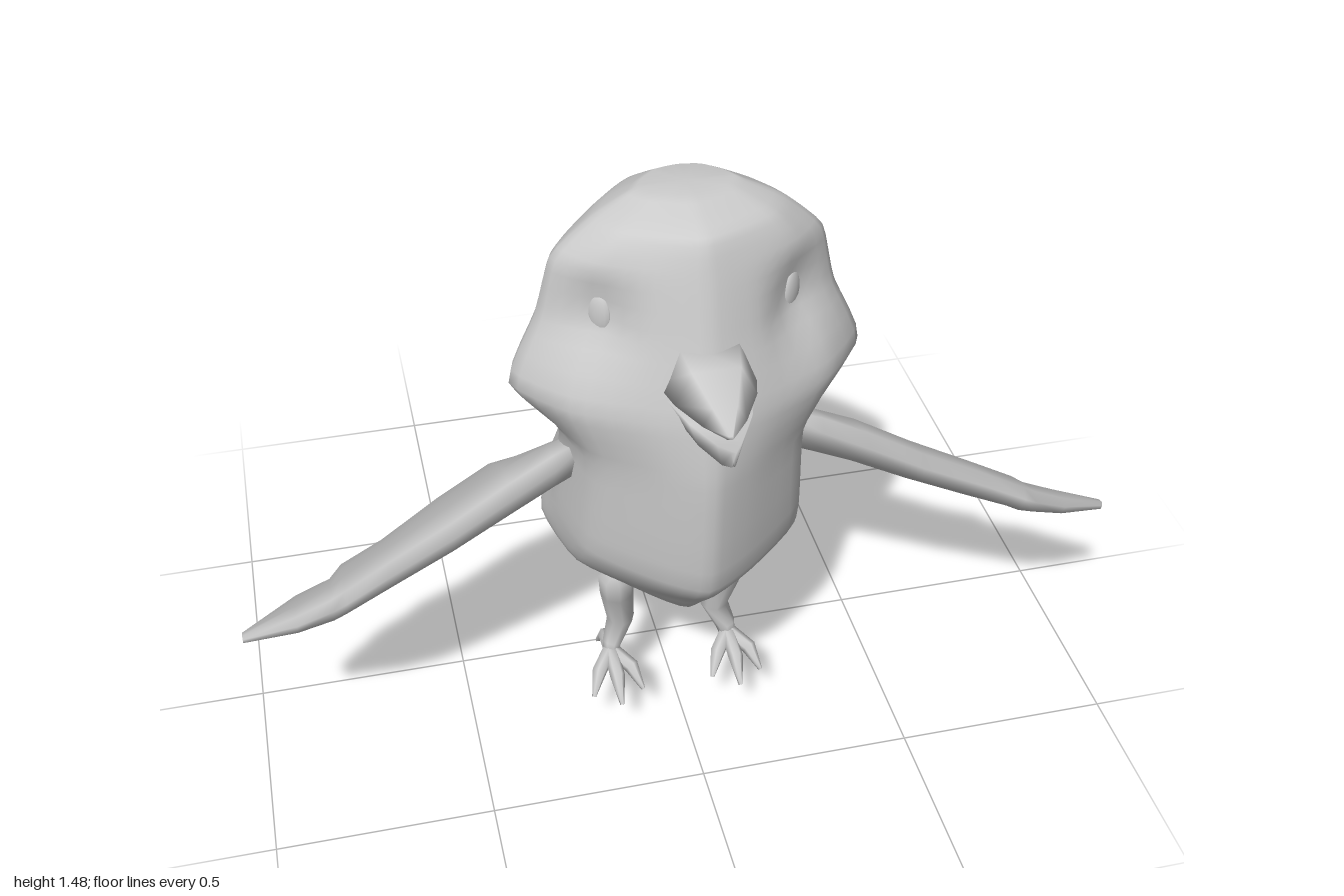
import * as THREE from 'three';

const material = new THREE.MeshStandardMaterial({ color: 0xcccccc, roughness: 0.8 });
const V = (x, y, z) => new THREE.Vector3(x, y, z);

// Closed skin over a list of rings (equal point counts), capped at both ends
function loft(rings) {
  const n = rings[0].length, pts = rings.flat(), index = [];
  for (let r = 0; r < rings.length - 1; r++)
    for (let i = 0; i < n; i++) {
      const a = r * n + i, b = r * n + (i + 1) % n;
      index.push(a, b, a + n, b, b + n, a + n);
    }
  const cap = (start, flip) => {
    const c = V(0, 0, 0);
    for (let i = 0; i < n; i++) c.addScaledVector(pts[start + i], 1 / n);
    const id = pts.push(c) - 1;
    for (let i = 0; i < n; i++) {
      const a = start + i, b = start + (i + 1) % n;
      index.push(id, flip ? b : a, flip ? a : b);
    }
  };
  cap((rings.length - 1) * n, false);
  cap(0, true);
  // Turn the skin outward when its signed volume is negative
  let volume = 0;
  for (let i = 0; i < index.length; i += 3)
    volume += pts[index[i]].dot(V(0, 0, 0).crossVectors(pts[index[i + 1]], pts[index[i + 2]]));
  if (volume < 0) index.reverse();
  const g = new THREE.BufferGeometry().setFromPoints(pts);
  g.setIndex(index);
  g.computeVertexNormals();
  return g;
}

function add(parent, name, geometry) {
  const mesh = new THREE.Mesh(geometry, material);
  mesh.name = name;
  parent.add(mesh);
  return mesh;
}

// Resample rings smoothly, both around and along
function smoothRings(rings, k) {
  const resample = (points, closed) => {
    const curve = new THREE.CatmullRomCurve3(points, closed, 'catmullrom', 0.3);
    const n = closed ? points.length * k : (points.length - 1) * k;
    return Array.from({ length: closed ? n : n + 1 }, (_, i) => curve.getPoint(i / n));
  };
  const around = rings.map(r => resample(r, true));
  const columns = around[0].map((_, i) => resample(around.map(r => r[i]), false));
  return columns[0].map((_, j) => columns.map(c => c[j]));
}

// Tapered round limb along a path that heads downward
function limb(path, radii, sides = 8) {
  return loft(path.map((p, i) => {
    const dir = path[Math.min(i + 1, path.length - 1)].clone().sub(path[Math.max(i - 1, 0)]).normalize();
    const q = new THREE.Quaternion().setFromUnitVectors(V(0, -1, 0), dir);
    return Array.from({ length: sides }, (_, s) => {
      const a = s / sides * Math.PI * 2;
      return V(Math.cos(a) * radii[i], 0, Math.sin(a) * radii[i]).applyQuaternion(q).add(p);
    });
  }));
}

// Head and body sections: front z, y, back z, y, half width, outline (0 head, 1 body, 2 keel)
const SECTIONS = [
  [0.32, 1.478, 0.19, 1.475, 0.10, 0.5],
  [0.425, 1.44, 0.11, 1.42, 0.20, 0.5],
  [0.455, 1.36, 0.07, 1.34, 0.285, 0.35],
  [0.49, 1.22, 0.00, 1.20, 0.32, 0.2],
  [0.53, 1.06, -0.06, 1.05, 0.38, 0],
  [0.545, 0.90, -0.07, 0.91, 0.275, 0.8],
  [0.52, 0.60, -0.145, 0.75, 0.285, 1],
  [0.42, 0.48, -0.21, 0.63, 0.30, 1.1],
  [0.30, 0.36, -0.26, 0.535, 0.27, 1.4],
  [0.00, 0.24, -0.32, 0.42, 0.20, 2],
  [-0.33, 0.27, -0.365, 0.315, 0.14, 2],
];
const OUTLINES = [
  [[0, 0], [0.07, 0.34], [0.2, 0.73], [0.42, 1], [0.67, 0.78], [0.9, 0.38], [1, 0]],
  [[0, 0], [0.08, 0.38], [0.24, 0.84], [0.48, 1], [0.73, 0.83], [0.96, 0.55], [1, 0]],
  [[0, 0], [0.14, 0.27], [0.36, 0.62], [0.62, 0.92], [0.82, 0.95], [0.96, 0.55], [1, 0]],
];

function bodyGeometry() {
  const rings = SECTIONS.map(([fz, fy, bz, by, w, kind]) => {
    const k = Math.min(Math.floor(kind), 1), mix = kind - k;
    const side = OUTLINES[k].map(([t, x], i) => {
      const u = THREE.MathUtils.lerp(t, OUTLINES[k + 1][i][0], mix);
      return V(w * THREE.MathUtils.lerp(x, OUTLINES[k + 1][i][1], mix), fy + (by - fy) * u, fz + (bz - fz) * u);
    });
    return [...side, ...side.slice(1, -1).reverse().map(p => V(-p.x, p.y, p.z))];
  });
  const g = loft(smoothRings(rings, 4));
  // Shallow eye sockets
  const p = g.attributes.position;
  for (let i = 0; i < p.count; i++) {
    const x = p.getX(i), y = p.getY(i), z = p.getZ(i), s = Math.sign(x);
    const d = ((Math.abs(x) - 0.225) / 0.07) ** 2 + ((y - 1.25) / 0.09) ** 2 + ((z - 0.4) / 0.1) ** 2;
    const dent = 0.04 * Math.exp(-d);
    p.setXYZ(i, x - s * dent * 0.6, y, z - dent * 0.8);
  }
  g.computeVertexNormals();
  return g;
}

// Wing sections: x, leading z, y, trailing z, y, thickness
const WING = [
  [0.20, 0.31, 0.87, 0.03, 0.69, 0.11],
  [0.30, 0.34, 0.845, 0.00, 0.635, 0.12],
  [0.40, 0.36, 0.80, -0.02, 0.60, 0.12],
  [0.53, 0.38, 0.735, 0.00, 0.535, 0.11],
  [0.67, 0.40, 0.675, 0.07, 0.495, 0.10],
  [0.77, 0.41, 0.625, 0.10, 0.465, 0.09],
  [0.80, 0.41, 0.61, 0.115, 0.44, 0.085],
  [0.88, 0.395, 0.57, 0.17, 0.455, 0.065],
  [1.00, 0.35, 0.515, 0.29, 0.48, 0.03],
];
const AIRFOIL = [[0, 0], [0.06, 0.35], [0.3, 0.5], [0.7, 0.28], [1, 0.05], [1, -0.05], [0.7, -0.3], [0.3, -0.5], [0.06, -0.35]];

const wingGeometry = s => loft(WING.map(([x, lz, ly, tz, ty, h]) =>
  AIRFOIL.map(([t, o]) => V(s * x, ly + (ty - ly) * t + o * h, lz + (tz - lz) * t))));

// Beak halves: sections of z, low y, high y, low half width, high half width
const beakGeometry = sections => loft(sections.map(([z, lo, hi, wl, wh]) =>
  [V(-wl, lo, z), V(0, lo + (hi - lo) * 0.08, z), V(wl, lo, z), V(wh, hi, z), V(-wh, hi, z)]));

// One half of the back and forked tail: sections of outer point and inner point
const tailGeometry = sections => loft(sections.map(([ox, oy, oz, ix, iy, iz]) => {
  const mid = V(ox * 0.6 + ix * 0.4, oy * 0.25 + iy * 0.75, oz * 0.55 + iz * 0.45);
  const down = V(0, -0.02, 0);
  return [V(ox, oy, oz), mid, V(ix, iy, iz), V(ix, iy, iz).add(down), mid.clone().add(down), V(ox, oy - 0.012, oz)];
}));
const backSections = s => [
  [s * 0.22, 0.63, -0.03, 0, 0.87, -0.075],
  [s * 0.205, 0.54, -0.12, 0, 0.755, -0.155],
  [s * 0.19, 0.435, -0.21, 0, 0.645, -0.22],
  [s * 0.185, 0.36, -0.275, 0, 0.50, -0.305],
  [s * 0.185, 0.285, -0.34, -0.005, 0.36, -0.385]];

export function createModel() {
  const bird = new THREE.Group();
  bird.name = 'bird';
  add(bird, 'body', bodyGeometry());

  add(bird, 'upperBeak', beakGeometry([
    [0.45, 1.13, 1.225, 0.105, 0.065], [0.53, 1.128, 1.20, 0.085, 0.05],
    [0.60, 1.12, 1.16, 0.045, 0.025], [0.645, 1.115, 1.122, 0.006, 0.004]]));
  add(bird, 'lowerBeak', beakGeometry([
    [0.45, 1.055, 1.115, 0.075, 0.105], [0.57, 1.05, 1.108, 0.045, 0.065],
    [0.64, 1.05, 1.10, 0.015, 0.025], [0.67, 1.065, 1.10, 0.003, 0.005]]));

  add(bird, 'rightTail', tailGeometry([...backSections(-1),
    [-0.195, 0.165, -0.52, -0.02, 0.215, -0.54], [-0.21, 0.07, -0.66, -0.105, 0.11, -0.67]]));
  add(bird, 'leftTail', tailGeometry([...backSections(1),
    [0.155, 0.125, -0.52, -0.02, 0.215, -0.54], [0.125, 0.012, -0.66, 0.04, 0.10, -0.67]]));

  for (const s of [1, -1]) {
    const side = s > 0 ? 'left' : 'right';
    add(bird, side + 'Wing', wingGeometry(s));

    // Flat eye set into its socket
    const eye = add(bird, side + 'Eye', new THREE.SphereGeometry(1, 16, 12));
    eye.scale.set(0.014, 0.05, 0.03);
    eye.position.set(s * 0.2, 1.25, 0.355);
    eye.rotation.y = -s * 0.8;

    // Leg with three front toes and one back toe
    const leg = new THREE.Group();
    leg.name = side + 'Leg';
    leg.position.x = -0.02;
    add(leg, 'shank', limb(
      [V(s * 0.135, 0.46, 0.26), V(s * 0.13, 0.39, 0.24), V(s * 0.115, 0.27, 0.205), V(s * 0.14, 0.21, 0.225), V(s * 0.145, 0.175, 0.23)],
      [0.042, 0.04, 0.033, 0.024, 0.018]));
    const ankle = V(s * 0.145, 0.19, 0.23);
    for (const [dx, z] of [[-0.06, 0.32], [0, 0.36], [0.06, 0.32]])
      add(leg, 'frontToe', limb(
        [ankle, V(ankle.x + dx * 0.65, 0.175, 0.23 + (z - 0.23) * 0.6), V(ankle.x + dx, 0.13, z)],
        [0.018, 0.018, 0.005], 6));
    add(leg, 'backToe', limb(
      [ankle, V(ankle.x, 0.168, 0.155), V(ankle.x + s * 0.01, 0.11, 0.112)], [0.018, 0.016, 0.005], 6));
    bird.add(leg);
  }
  return bird;
}
